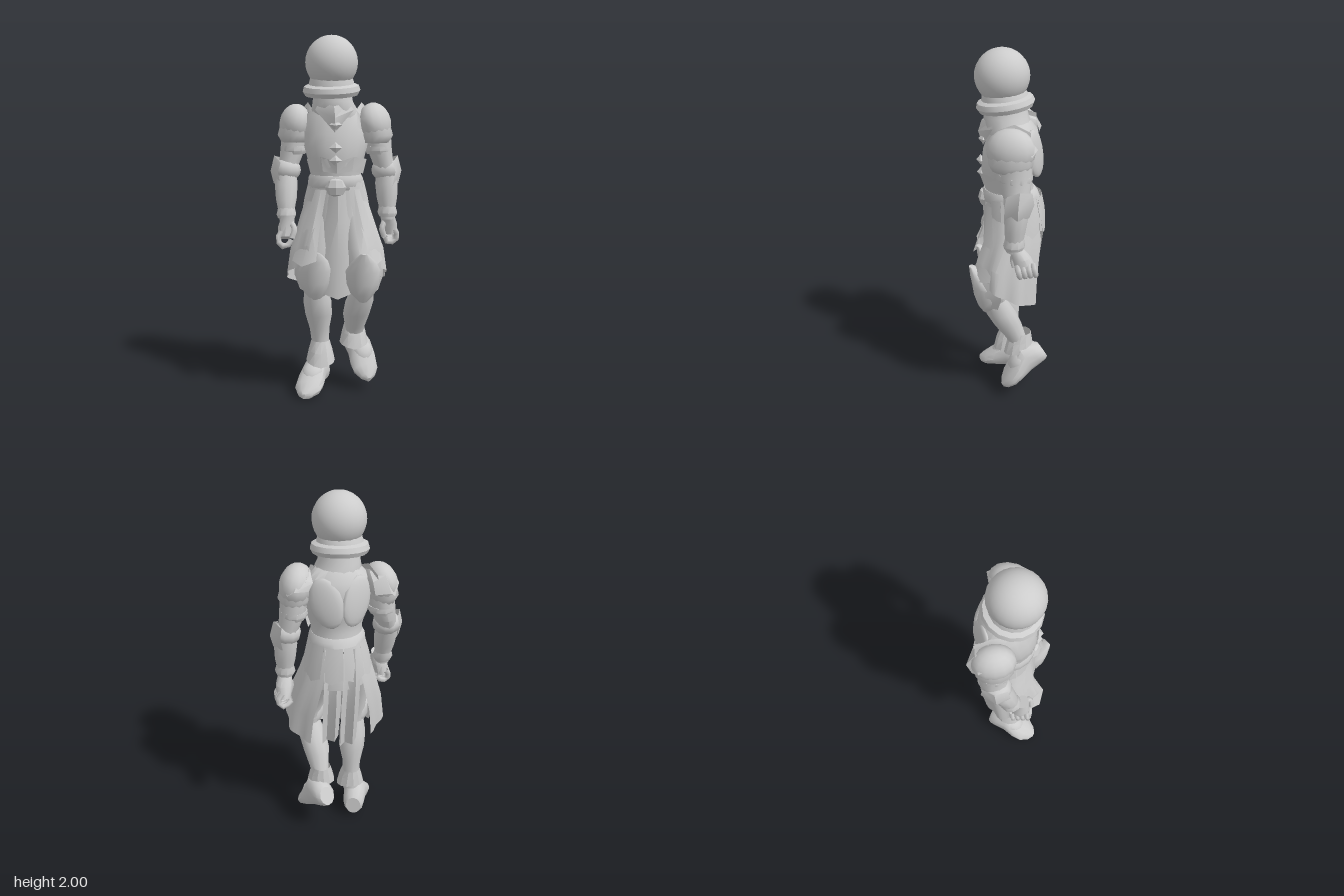
import * as THREE from 'three';
import { toCreasedNormals } from 'three/addons/utils/BufferGeometryUtils.js';

const steel = new THREE.MeshStandardMaterial({ color: 0xcccccc, side: THREE.DoubleSide });
steel.name = 'plain steel';

// Skin over rows of points, each row the same length
function sheet(rows, crease = 0.65) {
  const n = rows[0].length, index = [];
  for (let i = 0; i < rows.length - 1; i++) {
    for (let j = 0; j < n - 1; j++) {
      const a = i * n + j, b = a + n;
      index.push(a, a + 1, b + 1, a, b + 1, b);
    }
  }
  const geo = new THREE.BufferGeometry();
  geo.setAttribute('position', new THREE.Float32BufferAttribute(rows.flat(2), 3));
  geo.setIndex(index);
  return toCreasedNormals(geo, crease);
}

// Closed body through level ellipses [x, y, z, rx, rz]
function loft(rings, n = 12, crease = 0.75) {
  const r = [...rings].sort((a, b) => a[1] - b[1]);
  const first = r[0], last = r[r.length - 1];
  const all = [[...first.slice(0, 3), 0, 0], ...r, [...last.slice(0, 3), 0, 0]];
  return sheet(all.map(([x, y, z, rx, rz]) => Array.from({ length: n + 1 }, (_, j) => {
    const a = (j % n) / n * Math.PI * 2;
    return [x + Math.sin(a) * rx, y, z + Math.cos(a) * rz];
  })), crease);
}

// Hanging cloth or plate round an arc; angle 0 is the front, positive goes to +x
function drape(a0, a1, rings, { n = 12, fold = 0, rise = 0, point = 0 } = {}) {
  return sheet(rings.map(([x, y, z, rx, rz], i) => Array.from({ length: n + 1 }, (_, j) => {
    const u = j / n, t = 1 - i / (rings.length - 1), a = a0 + (a1 - a0) * u;
    const k = 1 + fold * t * Math.cos(u * Math.PI * 6);
    const dy = t * (rise * Math.cos(a) - point * (1 - Math.abs(2 * u - 1)));
    return [x + Math.sin(a) * rx * k, y + dy, z + Math.cos(a) * rz * k];
  })), 0.5);
}

function ball(rx, ry, rz, w = 14, h = 10) {
  return new THREE.SphereGeometry(1, w, h).scale(rx, ry, rz);
}

export function createModel() {
  const model = new THREE.Group();
  const add = (name, geo, pos = [0, 0, 0], rot = [0, 0, 0], parent = model) => {
    const mesh = new THREE.Mesh(geo, steel);
    mesh.name = name;
    mesh.position.set(...pos);
    mesh.rotation.set(...rot);
    parent.add(mesh);
    return mesh;
  };

  // Helmet, thick helmet rim and collar
  add('helmet', ball(0.143, 0.146, 0.147, 24, 16), [-0.028, 1.854, 0.03]);
  const rim = [[0.1, -0.025], [0.145, -0.036], [0.158, -0.012], [0.15, 0.015], [0.125, 0.025], [0.115, 0.06]]
    .map(p => new THREE.Vector2(...p));
  add('helmetRim', toCreasedNormals(new THREE.LatheGeometry(rim, 16), 0.6), [-0.028, 1.715, 0.014], [0.14, 0, 0.03]);
  add('collar', loft([[-0.022, 1.72, 0.012, 0.1, 0.105], [-0.022, 1.645, 0.01, 0.112, 0.12],
    [-0.012, 1.6, 0, 0.128, 0.125], [0, 1.56, -0.01, 0.13, 0.12]], 14));
  add('throatPlate', sheet([
    [[-0.015, 1.48, 0.135], [-0.015, 1.48, 0.135], [-0.015, 1.48, 0.135]],
    [[-0.12, 1.6, 0.085], [-0.015, 1.56, 0.16], [0.09, 1.6, 0.085]],
    [[-0.1, 1.64, 0.08], [-0.02, 1.62, 0.14], [0.06, 1.64, 0.08]]]));

  // Breastplate, waist and hips
  add('torso', loft([[-0.01, 1.62, -0.015, 0.11, 0.1], [-0.005, 1.57, -0.03, 0.165, 0.13],
    [0, 1.47, -0.018, 0.18, 0.152], [-0.005, 1.4, -0.008, 0.176, 0.15], [-0.005, 1.34, 0, 0.16, 0.145],
    [-0.005, 1.27, 0, 0.14, 0.132], [-0.005, 1.2, -0.015, 0.143, 0.14], [0, 1.1, -0.035, 0.165, 0.155],
    [0, 0.95, -0.035, 0.17, 0.15]], 18));
  add('belt', loft([[-0.005, 1.245, -0.005, 0.142, 0.138], [-0.005, 1.225, -0.01, 0.153, 0.152],
    [-0.005, 1.185, -0.018, 0.156, 0.158], [-0.005, 1.165, -0.02, 0.15, 0.145]], 18));
  for (const s of [-1, 1]) {
    add('shoulderBladePlate', ball(0.09, 0.14, 0.03, 14, 10), [s * 0.08, 1.46, -0.138], [0.1, -s * 0.45, -s * 0.25]);
    add('waistLame', sheet([
      [[-0.005, 1.26, 0.135], [s * 0.08, 1.27, 0.12], [s * 0.145, 1.25, 0.03]],
      [[-0.005, 1.32, 0.155], [s * 0.09, 1.35, 0.125], [s * 0.165, 1.33, 0.03]]]));
  }
  for (const [y, z] of [[1.52, 0.135], [1.4, 0.148], [1.33, 0.145]])
    add('chestClasp', toCreasedNormals(new THREE.OctahedronGeometry(1).scale(0.035, 0.03, 0.024), 0.3), [-0.012, y, z]);
  add('beltBuckle', toCreasedNormals(ball(0.06, 0.055, 0.04, 8, 4), 0.4), [-0.01, 1.185, 0.125]);

  // Pauldrons: dome, lower lame, upright inner rim and rear corner
  for (const { s, name, at, yaw, size, corner } of [
    { s: 1, name: 'leftPauldron', at: [0.212, 1.525, -0.005], yaw: -0.3, size: [0.09, 0.115, 0.13], corner: [0.25, 1.54, -0.14] },
    { s: -1, name: 'rightPauldron', at: [-0.23, 1.525, -0.065], yaw: 0.2, size: [0.085, 0.108, 0.115], corner: [-0.25, 1.51, -0.2] },
  ]) {
    const p = new THREE.Group();
    p.name = name;
    p.position.set(...at);
    p.rotation.y = yaw;
    model.add(p);
    const [rx, ry, rz] = size;
    add('shoulderDome', ball(rx, ry, rz), [0, 0, 0], [0, 0, s * 0.2], p);
    add('shoulderLame', loft([[0, 0, 0, rx - 0.008, rz - 0.012], [s * 0.01, -0.065, 0, rx, rz - 0.01],
      [s * 0.008, -0.105, 0, rx - 0.018, rz - 0.03]], 14, 1.2), [0, 0, 0], [0, 0, 0], p);
    add('shoulderRim', sheet([
      [[-s * 0.05, -0.03, 0.11], [-s * 0.065, 0.05, 0.09], [-s * 0.065, 0.08, 0], [-s * 0.06, 0.05, -0.09]],
      [[-s * 0.07, -0.02, 0.12], [-s * 0.085, 0.075, 0.09], [-s * 0.075, 0.115, 0], [-s * 0.065, 0.08, -0.09]]]),
      [0, 0, 0], [0, 0, 0], p);
    // Broad plate sweeping from the rim to the rear corner
    const [cx, cy, cz] = corner;
    add(name + 'RearPlate', sheet([
      [[at[0] - s * 0.07, 1.6, at[2] - 0.03], [at[0], 1.63, at[2] - 0.01], [at[0] + s * 0.06, 1.585, at[2] - 0.01]],
      [[at[0] - s * 0.07, 1.57, at[2] - 0.1], [at[0], 1.595, at[2] - 0.09], [at[0] + s * 0.08, 1.54, at[2] - 0.07]],
      [[cx - s * 0.08, cy - 0.01, cz + 0.02], [cx, cy, cz], [cx + s * 0.03, cy - 0.03, cz + 0.03]]]));
  }

  // Arms: upper arm, elbow guard, forearm, cuff and hand, placed from the joints
  const arms = [
    { s: 1, name: 'left', top: [0.235, -0.03], elbow: [0.28, -0.035], wrist: [0.288, -0.018], hand: [0.302, -0.058], curl: 0.1 },
    { s: -1, name: 'right', top: [-0.235, -0.07], elbow: [-0.28, -0.045], wrist: [-0.28, 0.025], hand: [-0.28, 0.06], curl: -0.3 },
  ];
  for (const { s, name, top, elbow, wrist, hand, curl } of arms) {
    const mix = (t) => [0, 1].map(i => elbow[i] + (wrist[i] - elbow[i]) * t);
    const ring = ([x, z], y, rx, rz) => [x, y, z, rx, rz];
    add(name + 'UpperArm', loft([ring(top, 1.5, 0.07, 0.08), ring(top, 1.41, 0.073, 0.085),
      ring([(top[0] + elbow[0]) / 2, top[1]], 1.32, 0.06, 0.075), ring(elbow, 1.24, 0.05, 0.06)]));
    add(name + 'ArmBand', loft([ring(top, 1.4, 0.074, 0.086), ring(top, 1.375, 0.077, 0.088), ring(top, 1.355, 0.066, 0.078)], 10));
    add(name + 'ElbowGuard', ball(0.078, 0.065, 0.075, 10, 8), [elbow[0] - s * 0.005, 1.265, elbow[1]]);
    // Fan-shaped wing on the outside of the elbow
    add(name + 'ElbowWing', sheet([
      [[0.03, 1.18, 0.065], [0.07, 1.19, 0], [0.03, 1.19, -0.06]],
      [[0.045, 1.26, 0.07], [0.087, 1.26, 0], [0.045, 1.27, -0.085]],
      [[0.03, 1.31, 0.055], [0.066, 1.345, -0.01], [0.035, 1.33, -0.075]]]
      .map(row => row.map(([x, y, z]) => [elbow[0] + s * x, y, elbow[1] + z]))));
    add(name + 'Forearm', loft([ring(elbow, 1.26, 0.055, 0.06), ring(mix(0.3), 1.19, 0.064, 0.064),
      ring(mix(0.65), 1.11, 0.058, 0.056), ring(mix(0.95), 1.04, 0.044, 0.047), ring(wrist, 0.99, 0.038, 0.042)]));
    add(name + 'Cuff', loft([ring(mix(0.85), 1.065, 0.047, 0.05), ring(mix(0.97), 1.025, 0.057, 0.058),
      ring(wrist, 1.005, 0.048, 0.052)], 10));

    const h = new THREE.Group();
    h.name = name + 'Hand';
    h.position.set(hand[0], 1, hand[1]);
    h.rotation.x = curl;
    model.add(h);
    add('palm', loft([[-s * 0.01, 0.01, 0.03, 0.038, 0.038], [0, -0.04, 0.005, 0.047, 0.05],
      [s * 0.008, -0.1, -0.01, 0.04, 0.055]], 10), [0, 0, 0], [0, 0, 0], h);
    const digit = (label, pts, r) => add(label, new THREE.TubeGeometry(
      new THREE.CatmullRomCurve3(pts.map(p => new THREE.Vector3(s * p[0], p[1], p[2]))), 5, r, 6), [0, 0, 0], [0, 0, 0], h);
    for (let i = 0; i < 4; i++) {
      const z = 0.032 - i * 0.028;
      digit('finger', [[0.025, -0.07, z], [0.046, -0.105, z - 0.004], [0.03, -0.143, z - 0.008], [-0.012, -0.145 + i * 0.005, z - 0.006], [-0.025, -0.115, z]], 0.016);
    }
    digit('thumb', [[-0.025, -0.02, 0.03], [-0.045, -0.06, 0.05], [-0.03, -0.11, 0.045]], 0.017);
  }

  // Legs: thigh, pointed knee guard with outer wing, greave and ankle guard
  const legs = [
    { s: 1, name: 'left', hip: [0.09, -0.03], knee: [0.14, 0.108], calf: [0.112, 0.002], ankle: [0.102, -0.07], lift: 0.09 },
    { s: -1, name: 'right', hip: [-0.09, -0.03], knee: [-0.118, 0.065], calf: [-0.102, 0], ankle: [-0.092, -0.015], lift: 0 },
  ];
  for (const { s, name, hip, knee, calf, ankle, lift } of legs) {
    const r = ([x, z], y, rx, rz, dz = 0) => [x, y, z + dz, rx, rz];
    const half = (a, b) => [(a[0] + b[0]) / 2, (a[1] + b[1]) / 2];
    add(name + 'Thigh', loft([r(hip, 1.02, 0.09, 0.13), r(half(hip, knee), 0.85, 0.09, 0.115),
      r(knee, 0.68, 0.07, 0.08, -0.01), r(knee, 0.58, 0.06, 0.07, -0.02)]));
    add(name + 'KneeGuard', loft([r(knee, 0.83, 0.02, 0.015, 0.1), r(knee, 0.775, 0.07, 0.055, 0.055),
      r(knee, 0.72, 0.098, 0.085, 0.015), r(knee, 0.65, 0.095, 0.09, 0), r(knee, 0.59, 0.068, 0.07, 0),
      r(knee, 0.545, 0.025, 0.03, 0.01)], 12, 0.8));
    add(name + 'KneeWing', sheet([
      [[0.06, 0.6, 0.03], [0.09, 0.6, -0.04]],
      [[0.095, 0.69, 0.03], [0.12, 0.68, -0.06]],
      [[0.075, 0.77, 0.045], [0.115, 0.77, -0.03]]]
      .map(row => row.map(([x, y, z]) => [knee[0] + s * x, y, knee[1] + z]))));
    add(name + 'Greave', loft([r(knee, 0.62, 0.062, 0.07, -0.02), r(half(knee, calf), 0.53, 0.079, 0.085, -0.005),
      r(calf, 0.45, 0.076, 0.08, 0.01), r(half(calf, ankle), 0.36, 0.056, 0.06),
      r(ankle, 0.28, 0.05, 0.055), r(ankle, 0.17 + lift, 0.05, 0.058)]));
    add(name + 'AnkleGuard', drape(-Math.PI, Math.PI, [r(ankle, 0.2 + lift, 0.082, 0.085, 0.015), r(ankle, 0.25 + lift, 0.068, 0.073, 0.01),
      r(ankle, 0.29 + lift, 0.052, 0.057)], { n: 12, point: 0.05 }));
  }

  // Feet: lofted heel to toe, flat sole, left heel lifted
  const foot = (name, pos, yaw, pitch) => {
    const geo = loft([[0, -0.125, -0.06, 0.045, 0.055], [0, -0.105, -0.068, 0.06, 0.07], [0, -0.07, -0.08, 0.065, 0.083],
      [0, -0.01, -0.09, 0.068, 0.093], [0, 0.06, -0.062, 0.08, 0.066], [0, 0.12, -0.04, 0.076, 0.045],
      [0, 0.165, -0.025, 0.045, 0.028], [0, 0.185, -0.02, 0.012, 0.015]], 12, 0.7);
    geo.rotateX(Math.PI / 2);
    const mesh = add(name, geo, pos);
    mesh.rotation.set(pitch, yaw, 0, 'YXZ');
    add('instepPlate', ball(0.062, 0.045, 0.075, 10, 8), [0, 0.105, 0.03], [0.5, 0, 0], mesh);
  };
  foot('leftFoot', [0.125, 0.135, -0.12], 0.36, 0.5);
  foot('rightFoot', [-0.125, 0.01, -0.005], -0.36, 0.07);

  // Long skirts over each thigh, open at the front and back
  for (const s of [-1, 1]) {
    add(s > 0 ? 'leftSkirt' : 'rightSkirt', drape(s * 0.45, s * 2.65, [
      [s * 0.08, 0.68, 0.015, 0.2, s > 0 ? 0.175 : 0.155], [s * 0.065, 0.82, 0.01, 0.198, 0.18],
      [s * 0.03, 1.0, -0.03, 0.178, 0.163], [0, 1.17, -0.02, 0.15, 0.145]], { n: 18, fold: 0.05, rise: 0.09 }));
    // Short hip plates under the belt
    for (let i = 0; i < 4; i++) {
      const a = s * (0.42 + i * 0.68);
      add('hipPlate', drape(a, a + s * 0.66, [[0, 1.03, -0.035, 0.195, 0.172], [0, 1.12, -0.035, 0.178, 0.168],
        [0, 1.21, -0.025, 0.153, 0.16]], { n: 4, point: 0.03 }));
    }
    // Narrow pointed strips beside the front panel
    add('frontStrip', sheet([
      [[s * 0.12, 0.79, 0.2], [s * 0.2, 0.76, 0.185], [s * 0.25, 0.78, 0.11]],
      [[s * 0.1, 0.95, 0.14], [s * 0.14, 0.95, 0.145], [s * 0.19, 0.95, 0.09]],
      [[s * 0.06, 1.17, 0.12], [s * 0.09, 1.17, 0.115], [s * 0.12, 1.17, 0.095]]]));
  }

  // Front panel with a raised centre fold and a pointed hem
  add('frontPanel', sheet([[0.6, 0.115, 0.115], [0.8, 0.105, 0.13], [1.0, 0.085, 0.12], [1.17, 0.065, 0.125]]
    .map(([y, w, z], i) => [-1, -0.5, 0, 0.5, 1].map(u => [u * w,
      y - (i ? 0 : 0.04 * (1 - Math.abs(u))), z + (u === 0 ? 0.015 : Math.abs(u) === 1 ? -0.03 : 0)]))));

  // Two folded tails hanging behind
  for (const [x, z] of [[-0.05, 0], [0.05, 0.02]])
    add('backTail', sheet([[0.55, 0.055, -0.14], [0.8, 0.058, -0.175], [1.02, 0.055, -0.205], [1.2, 0.045, -0.18]]
      .map(([y, w, d], i) => [1, 0.4, -0.3, -1].map((u, j) =>
        [x + u * w, y + (i ? 0 : z), d + z + (j % 2) * 0.035 * (1 - i / 4) + (j === 3 ? 0.03 : 0)]))));

  return model;
}
